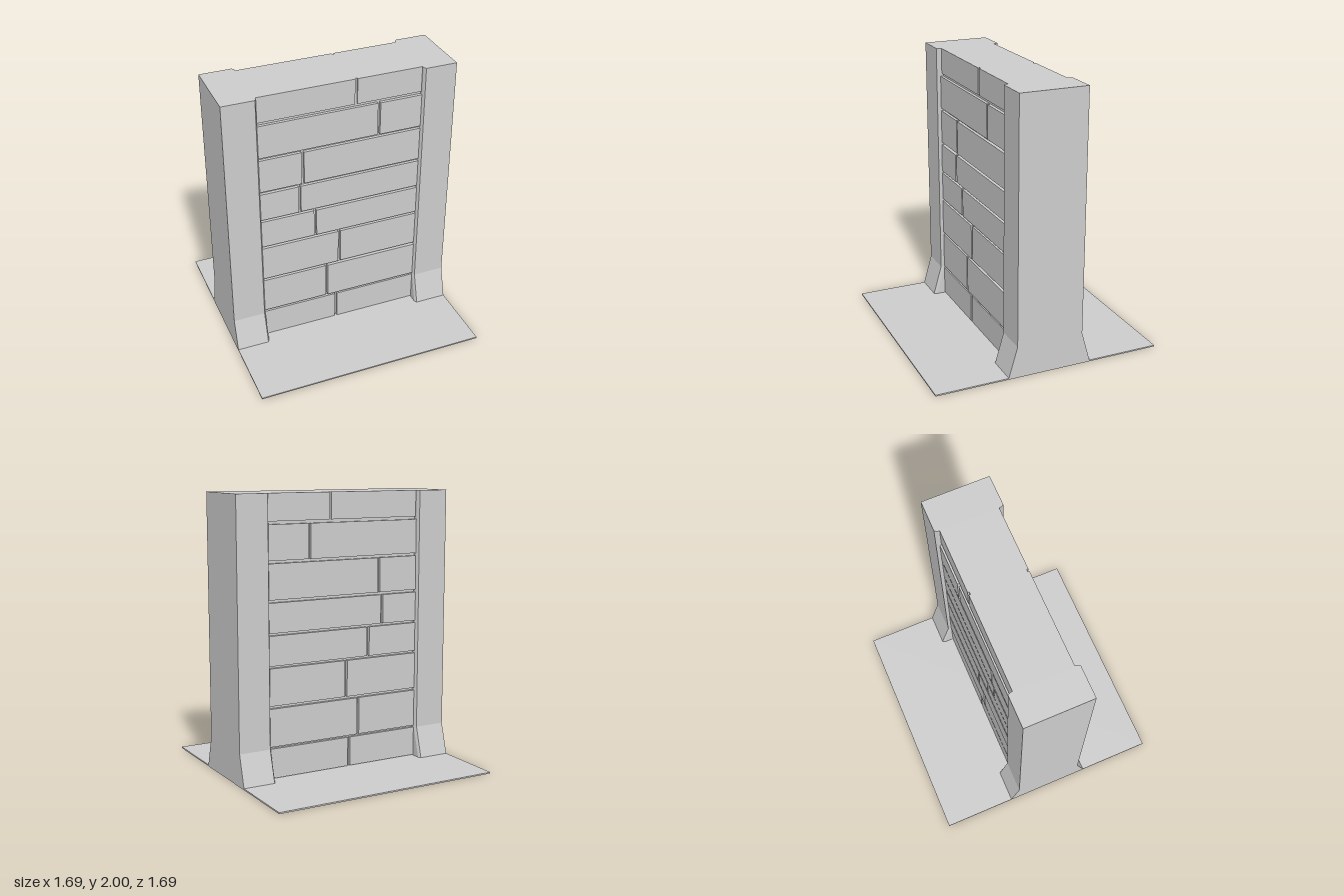
import * as THREE from 'three';

const material = new THREE.MeshStandardMaterial({ color: 0xcccccc, flatShading: true });

function addBox(parent, name, x0, x1, y0, y1, z0, z1) {
  const mesh = new THREE.Mesh(new THREE.BoxGeometry(x1 - x0, y1 - y0, z1 - z0), material);
  mesh.position.set((x0 + x1) / 2, (y0 + y1) / 2, (z0 + z1) / 2);
  mesh.name = name;
  parent.add(mesh);
}

// Pillar with chamfered inner corners and a foot that flares to front and back
function pillarGeometry() {
  const d = 0.247, inner = 0.6, edge = 0.612, outer = 0.845, chamfer = 0.02;
  const shape = new THREE.Shape([
    [outer, -d], [outer, d], [edge, d], [inner, d - chamfer], [inner, chamfer - d], [edge, -d],
  ].map(([x, y]) => new THREE.Vector2(x, y)));
  const geometry = new THREE.ExtrudeGeometry(shape, { depth: 1, steps: 2, bevelEnabled: false });
  geometry.rotateX(-Math.PI / 2);
  const levels = [0.005, 0.235, 2];
  const p = geometry.attributes.position;
  for (let i = 0; i < p.count; i++) {
    const level = Math.round(p.getY(i) * 2);
    p.setY(i, levels[level]);
    if (level === 0) p.setZ(i, p.getZ(i) + Math.sign(p.getZ(i)) * 0.066);
  }
  geometry.computeVertexNormals();
  return geometry;
}

export function createModel() {
  const model = new THREE.Group();
  model.name = 'stoneWall';

  addBox(model, 'groundPlate', -0.845, 0.845, 0, 0.01, -0.845, 0.845);

  const pillar = pillarGeometry();
  for (const name of ['leftPillar', 'rightPillar']) {
    const mesh = new THREE.Mesh(pillar, material);
    mesh.name = name;
    if (name === 'rightPillar') mesh.rotation.y = Math.PI;
    model.add(mesh);
  }

  // Mortar core, set back behind the stones
  const mortar = 0.2;
  addBox(model, 'mortarCore', -0.6, 0.6, 0.005, 2, -mortar, mortar);

  // Courses: bottom, top, centre of upright joint, face depth of each stone
  const courses = [
    [0.015, 0.229, -0.035, 0.223, 0.223],
    [0.243, 0.515, -0.11, 0.223, 0.225],
    [0.534, 0.8, -0.01, 0.225, 0.223],
    [0.816, 1.028, -0.195, 0.223, 0.223],
    [1.045, 1.256, -0.31, 0.224, 0.222],
    [1.275, 1.525, -0.283, 0.222, 0.223],
    [1.544, 1.79, 0.281, 0.222, 0.224],
    [1.81, 2, 0.112, 0.212, 0.212],
  ];
  const gap = 0.009;
  for (const side of ['front', 'back']) {
    const stones = new THREE.Group();
    stones.name = side + 'Stones';
    if (side === 'back') stones.userData.mirrored = true;
    const s = side === 'front' ? 1 : -1;
    for (const [y0, y1, joint, depthA, depthB] of courses) {
      for (const [x0, x1, depth] of [[-0.6, joint - gap, depthA], [joint + gap, 0.6, depthB]]) {
        const [z0, z1] = s > 0 ? [mortar, depth] : [-depth, -mortar];
        addBox(stones, 'stone', x0, x1, y0, y1, z0, z1);
      }
    }
    model.add(stones);
  }
  return model;
}
